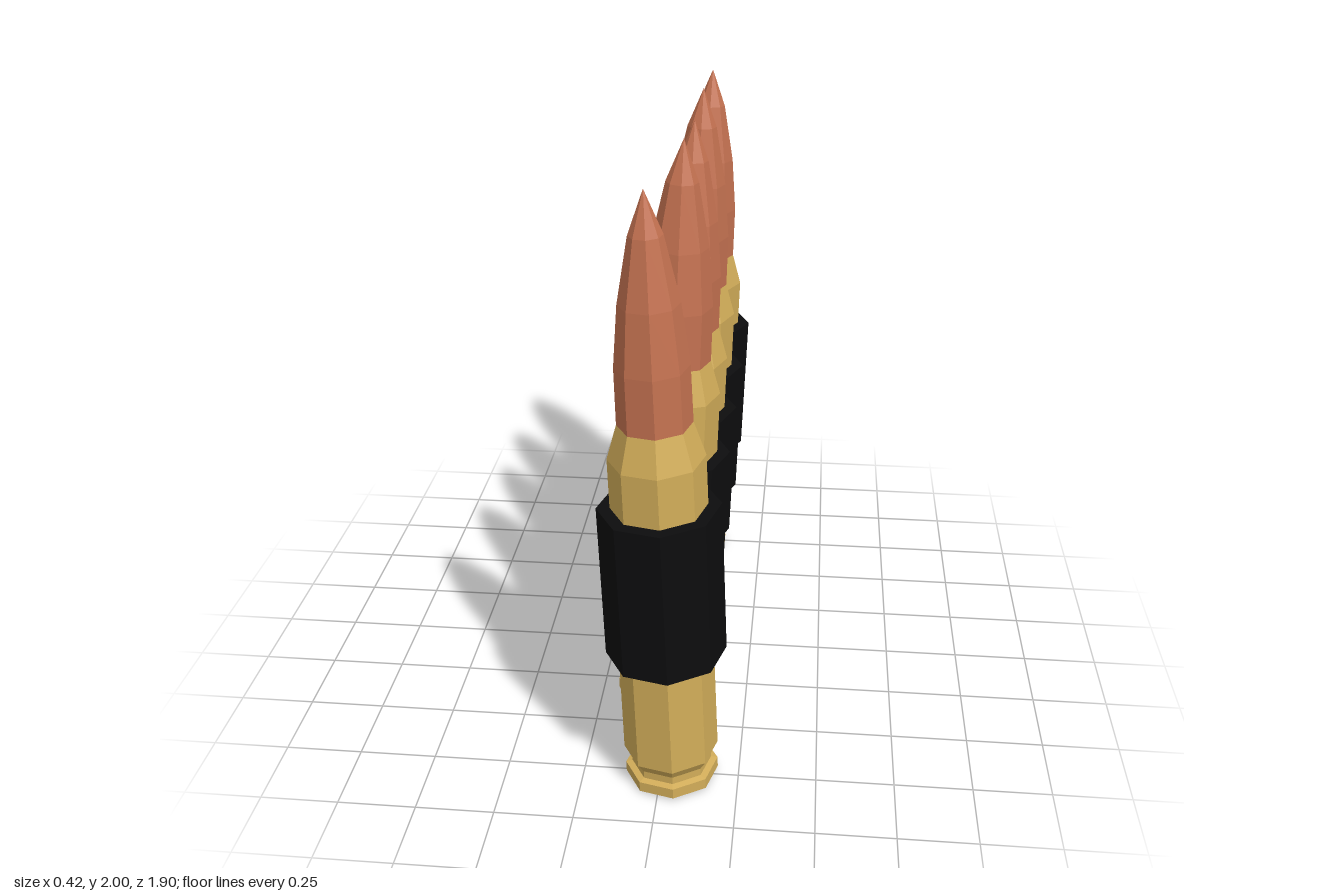
import * as THREE from 'three';

const brass = new THREE.MeshStandardMaterial({ color: 0xd2ad59, flatShading: true });
brass.name = 'brass';
const copper = new THREE.MeshStandardMaterial({ color: 0xc57251, flatShading: true });
copper.name = 'copper';
const black = new THREE.MeshStandardMaterial({ color: 0x0d0d0e, flatShading: true });
black.name = 'black webbing';

const SIDES = 8;
const lathe = (pts) => new THREE.LatheGeometry(pts.map(([r, y]) => new THREE.Vector2(r, y)), SIDES);

// Case: flat base, rim, extractor groove, body, shoulder
const caseGeometry = lathe([
  [0, 0], [0.148, 0], [0.148, 0.035], [0.127, 0.04], [0.127, 0.065],
  [0.15, 0.1], [0.146, 1.14], [0.112, 1.25],
]);
// Pointed tip
const tipGeometry = lathe([
  [0.112, 1.25], [0.11, 1.43], [0.09, 1.62], [0.05, 1.82], [0, 1.95],
]);
// Belt loop around the case
const loopGeometry = new THREE.CylinderGeometry(0.188, 0.188, 1, SIDES);

function part(name, geometry, material) {
  const mesh = new THREE.Mesh(geometry, material);
  mesh.name = name;
  return mesh;
}

// Each round: base point, tip point, loop bottom and top heights, twist
const rounds = [
  { base: [0.035, 0.012, 0.745], tip: [-0.035, 1.96, 0.78], loop: [0.477, 0.99], twist: 0.12 },
  { base: [-0.04, 0.05, 0.37], tip: [0.038, 2.0, 0.384], loop: [0.477, 0.985], twist: 0.06 },
  { base: [-0.043, 0.008, 0.01], tip: [0.035, 1.958, -0.016], loop: [0.492, 0.967], twist: 0.06 },
  { base: [-0.04, 0.033, -0.366], tip: [0.035, 1.98, -0.36], loop: [0.477, 0.973], twist: 0.03 },
  { base: [-0.043, 0.01, -0.738], tip: [0.035, 1.96, -0.78], loop: [0.477, 0.987], twist: 0 },
];

export function createModel() {
  const model = new THREE.Group();
  model.name = 'cartridgeBelt';
  const up = new THREE.Vector3(0, 1, 0);
  rounds.forEach(({ base, tip, loop, twist }, i) => {
    const start = new THREE.Vector3(...base);
    const axis = new THREE.Vector3(...tip).sub(start).normalize();

    // Lean the round along its axis, after twisting it about itself
    const round = new THREE.Group();
    round.name = `round${i + 1}`;
    round.position.copy(start);
    round.quaternion.setFromUnitVectors(up, axis)
      .multiply(new THREE.Quaternion().setFromAxisAngle(up, twist));

    const sleeve = part('beltLoop', loopGeometry, black);
    sleeve.scale.y = loop[1] - loop[0];
    sleeve.position.y = (loop[0] + loop[1]) / 2 - base[1];

    round.add(part('case', caseGeometry, brass), part('tip', tipGeometry, copper), sleeve);
    model.add(round);
  });
  return model;
}
